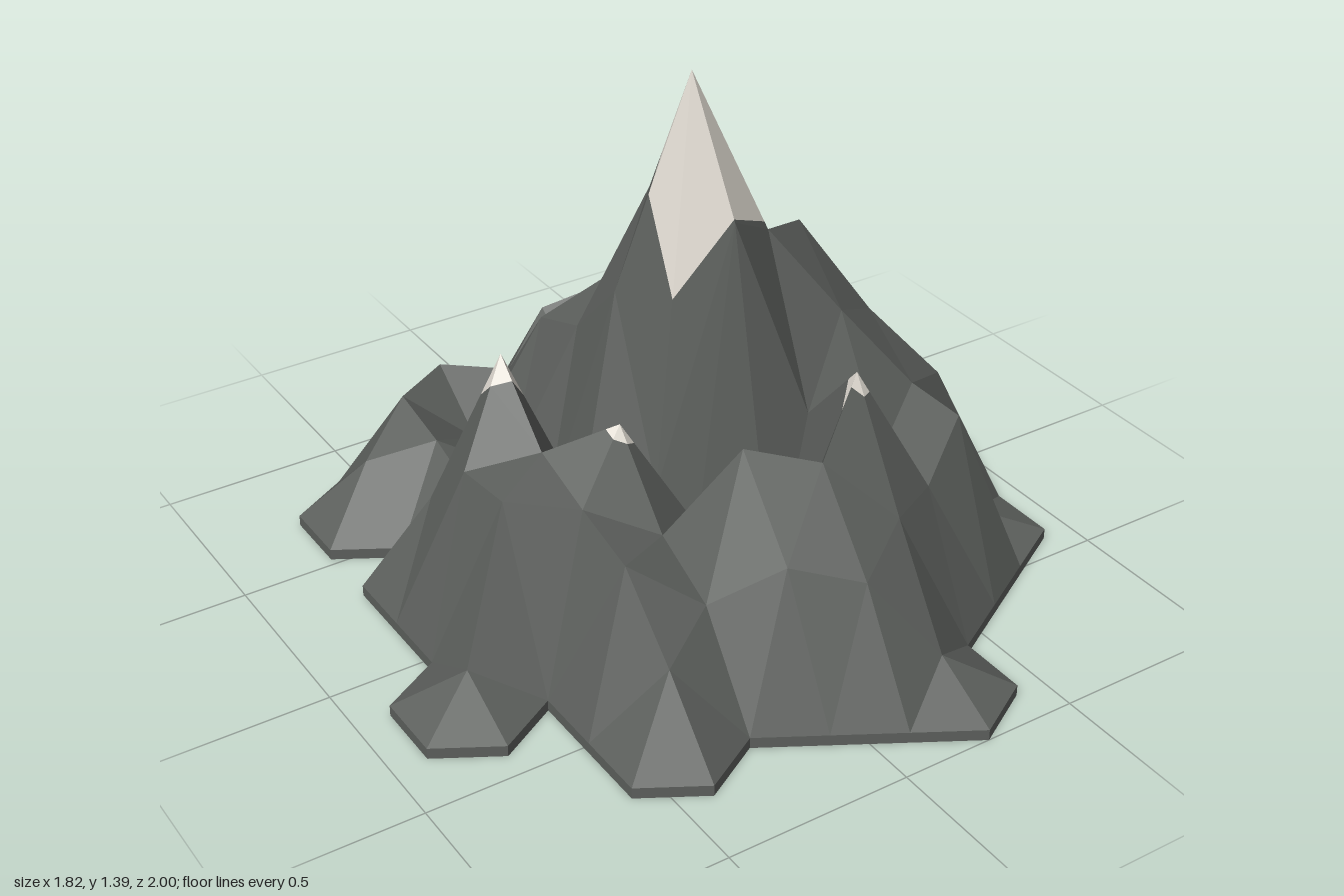
import * as THREE from 'three';

const RIM = 0.03;   // height of the base rim
const DX = 0.165;   // spacing of the lattice columns
const DZ = 0.1905;  // spacing of the points within a column
const E = RIM;

// Lattice columns from -x to +x: first row index, then heights from back to front
const COLUMNS = [
  [6, [E, E]],
  [1, [E, E, E, E, E, 0.13, E]],
  [1, [E, 0.2, E, 0.3, 0.48, 0.5, E, E, E]],
  [0, [E, 0.3, 0.26, 0.2, 0.715, 0.53, 0.47, 0.42, 0.24, E]],
  [0, [E, 0.3, 0.16, 0.17, 0.12, 0.28, 0.605, 0.39, 0.3, E]],
  [0, [E, 0.28, 0.535, 0.6, 0.79, 0.3, 0.3, 0.63, 0.4, E]],
  [0, [E, 0.38, 0.24, 0.665, 1.0, 1.387, 1.06, 0.1, 0.585, 0.35, E]],
  [0, [E, 0.46, 0.1, 0.52, 0.45, 0.955, 0.52, 0.735, 0.42, 0.13, E]],
  [0, [E, 0.36, E, 0.42, 0.24, 0.895, 0.72, 0.4, 0.4, E, E]],
  [0, [E, E, E, 0.32, 0.34, 0.63, 0.5, 0.5, E]],
  [2, [E, 0.42, 0.3, 0.36, 0.43, 0.1, E]],
  [2, [E, E, E, E, E, E]],
];

// Snowy summits: how far the snow runs down each edge (0 to 1)
const SNOW = {
  '6,5': { name: 'mainSnowCap', reach: { '6,6': 0.98, '5,4': 0.55, '5,5': 0.53, '6,4': 0.7, '7,5': 0.95, '7,4': 0.36 } },
  '3,4': { name: 'leftSnowCap', reach: {}, rest: 0.28 },
  '4,6': { name: 'smallSnowCap', reach: {}, rest: 0.18 },
  '7,7': { name: 'frontSnowCap', reach: {}, rest: 0.17 },
};

function lattice(c, k) {
  const column = COLUMNS[c];
  if (!column) return null;
  const h = column[1][k - column[0]];
  if (h === undefined) return null;
  const z = -1 + DZ * (k + (c % 2) / 2);
  return { key: `${c},${k}`, h, p: new THREE.Vector3((c - 5.5) * DX, h, z) };
}

function facetMesh(name, corners, material) {
  const geometry = new THREE.BufferGeometry().setFromPoints(corners);
  geometry.computeVertexNormals();
  const mesh = new THREE.Mesh(geometry, material);
  mesh.name = name;
  return mesh;
}

// All lattice triangles touching at least one raised point
function collectTriangles() {
  const triangles = [];
  const add = (...t) => {
    if (t.every(Boolean) && t.some((v) => v.h > RIM)) triangles.push(t);
  };
  for (let c = 0; c < COLUMNS.length; c++) {
    for (let k = 0; k < 11; k++) {
      const a = lattice(c, k), b = lattice(c, k + 1);
      const side = k + (c % 2);
      add(a, b, lattice(c + 1, side));
      add(a, lattice(c - 1, side), b);
    }
  }
  return triangles;
}

export function createModel() {
  const rock = new THREE.MeshStandardMaterial({ color: 0x5d605d, side: THREE.DoubleSide, flatShading: true });
  rock.name = 'grey rock';
  const snow = new THREE.MeshStandardMaterial({ color: 0xe2ddd4, side: THREE.DoubleSide, flatShading: true });
  snow.name = 'pale snow';

  const group = new THREE.Group();
  group.name = 'mountain';
  const triangles = collectTriangles();
  const slopes = [];
  const caps = {};
  const edges = new Map();

  for (const t of triangles) {
    // Edges seen only once make the outline
    t.forEach((a, i) => {
      const b = t[(i + 1) % 3];
      if (!edges.delete(`${b.key}|${a.key}`)) edges.set(`${a.key}|${b.key}`, [a.p, b.p]);
    });
    const i = t.findIndex((v) => SNOW[v.key]);
    if (i < 0) {
      slopes.push(...t.map((v) => v.p));
      continue;
    }
    // Split a summit facet into a snow tip and rock below
    const a = t[i], b = t[(i + 1) % 3], c = t[(i + 2) % 3];
    const { name, reach, rest } = SNOW[a.key];
    const p = a.p.clone().lerp(b.p, reach[b.key] ?? rest);
    const q = a.p.clone().lerp(c.p, reach[c.key] ?? rest);
    (caps[name] ??= []).push(a.p, p, q);
    slopes.push(p, b.p, c.p, p, c.p, q);
  }

  // Thin vertical wall around the foot
  const wall = [];
  for (const [a, b] of edges.values()) {
    const a0 = a.clone().setY(0), b0 = b.clone().setY(0);
    wall.push(a0, b0, b, a0, b, a);
  }

  group.add(facetMesh('rockSlopes', slopes, rock), facetMesh('baseRim', wall, rock));
  for (const name in caps) group.add(facetMesh(name, caps[name], snow));
  return group;
}
